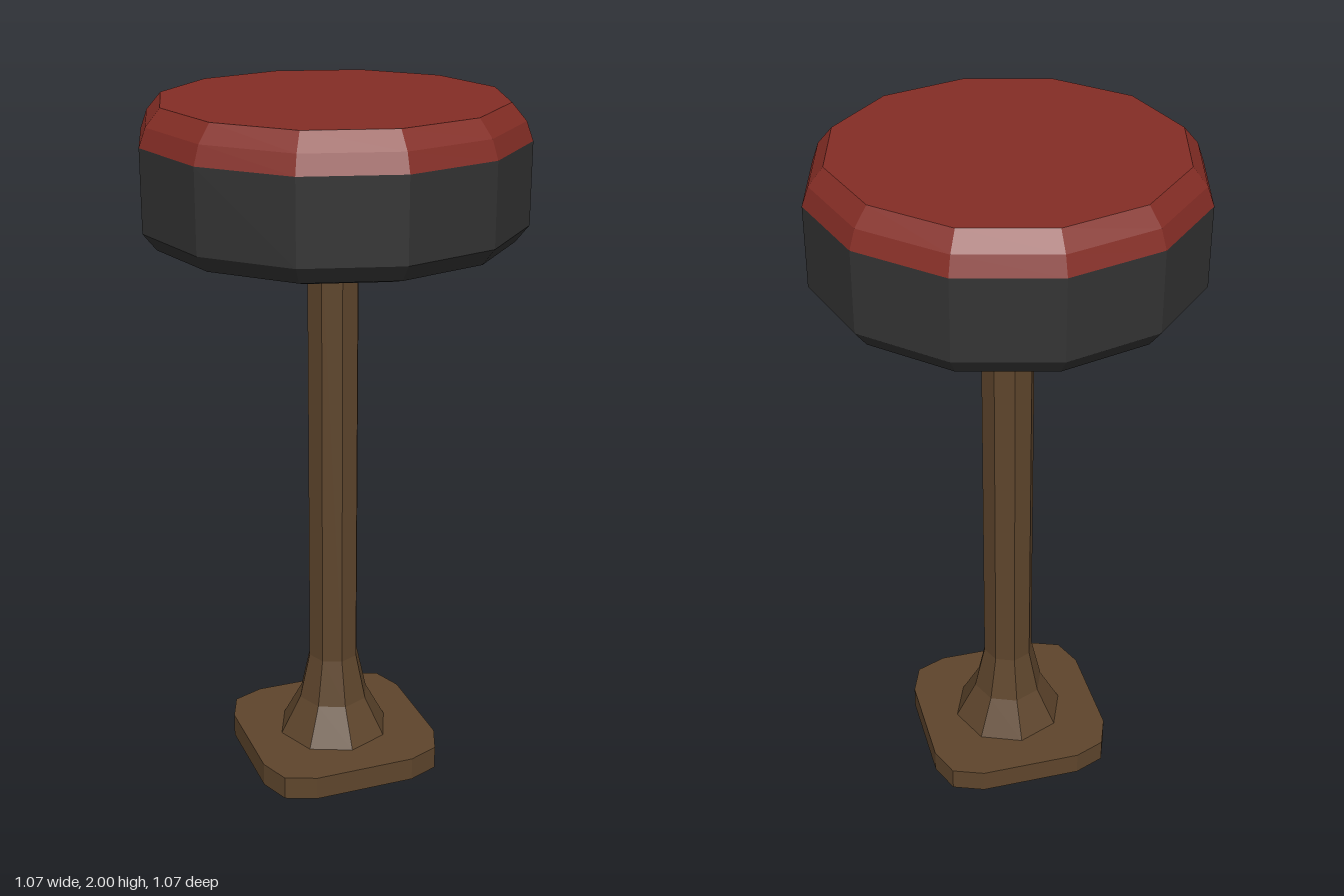
import * as THREE from 'three';

const paint = (color) => new THREE.MeshStandardMaterial({ color, flatShading: true });

// Faceted turned part from [radius, height] points, listed bottom to top
function turned(name, profile, sides, material) {
  const points = profile.map(([r, y]) => new THREE.Vector2(r, y));
  const mesh = new THREE.Mesh(new THREE.LatheGeometry(points, sides), material);
  mesh.name = name;
  return mesh;
}

export function createModel() {
  const group = new THREE.Group();
  group.name = 'barStool';
  const wood = paint(0x5e452c);
  const red = paint(0x842d25);
  const black = paint(0x333333);

  // Square foot plate with corners cut in two steps
  const outline = [];
  for (let i = 0; i < 4; i++) {
    for (const [x, y] of [[0.275, 0.15], [0.24, 0.24], [0.15, 0.275]]) {
      outline.push(new THREE.Vector2(x, y).rotateAround(new THREE.Vector2(), i * Math.PI / 2));
    }
  }
  const plate = new THREE.ExtrudeGeometry(new THREE.Shape(outline), { depth: 0.07, bevelEnabled: false });
  plate.rotateX(-Math.PI / 2);
  const foot = new THREE.Mesh(plate, wood);
  foot.name = 'footPlate';
  group.add(foot);

  // Post with flared lower end
  group.add(turned('post', [[0.168, 0.07], [0.107, 0.185], [0.076, 0.325], [0.076, 1.61]], 8, wood));

  // Seat: dark drum below, red cushion on top
  group.add(turned('seatDrum',
    [[0, 1.603], [0.427, 1.603], [0.5, 1.625], [0.537, 1.672], [0.537, 1.9]], 12, black));
  group.add(turned('seatCushion',
    [[0.537, 1.9], [0.518, 1.952], [0.477, 2], [0, 2]], 12, red));

  return group;
}
